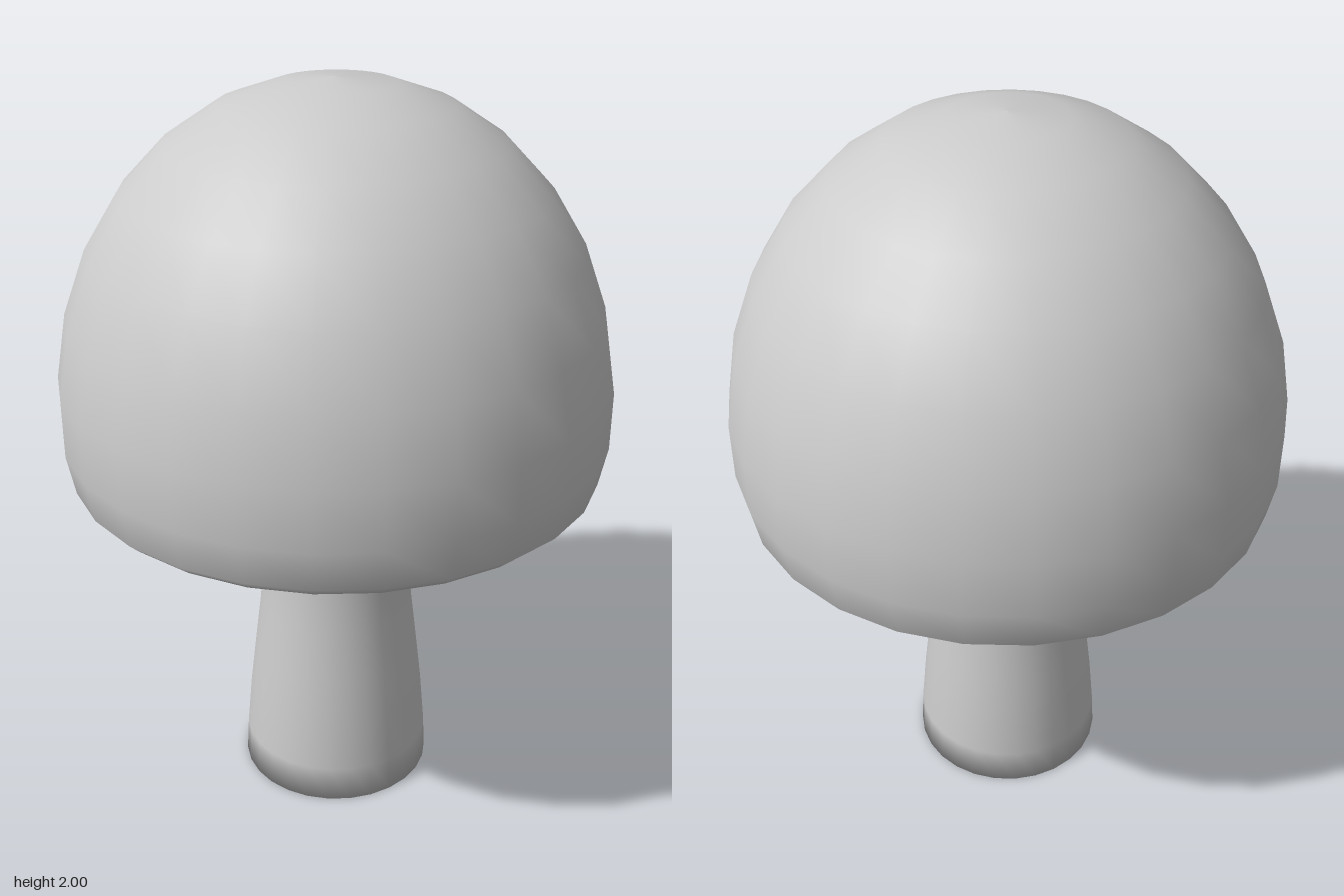
import * as THREE from 'three';

const SIDES = 27;
const material = new THREE.MeshStandardMaterial({ color: 0xcccccc });

// Revolve a profile of [radius, height] points, listed from the underside up
function revolve(name, profile) {
  const points = profile.map(([r, y]) => new THREE.Vector2(r, y));
  const mesh = new THREE.Mesh(new THREE.LatheGeometry(points, SIDES, Math.PI), material);
  mesh.name = name;
  return mesh;
}

export function createModel() {
  const group = new THREE.Group();
  group.name = 'mushroom';

  // Stem: softly rounded foot, narrow neck, flaring into the hollow of the cap
  group.add(revolve('stem', [
    [0, 0], [0.268, 0], [0.263, 0.1], [0.25, 0.25], [0.235, 0.38], [0.217, 0.53],
    [0.203, 0.68], [0.203, 0.78], [0.225, 0.88], [0.26, 0.96], [0.31, 1.04],
    [0.37, 1.09], [0.44, 1.105],
  ]));

  // Cap: hollow underside, rolled rim and domed top
  group.add(revolve('cap', [
    [0.44, 1.105], [0.52, 1.085], [0.58, 1.03], [0.62, 0.965], [0.65, 0.942],
    [0.68, 0.942], [0.713, 0.972], [0.734, 1.08], [0.734, 1.235], [0.703, 1.41],
    [0.64, 1.58], [0.55, 1.725], [0.435, 1.845], [0.3, 1.935], [0.152, 1.987], [0, 2],
  ]));

  return group;
}
